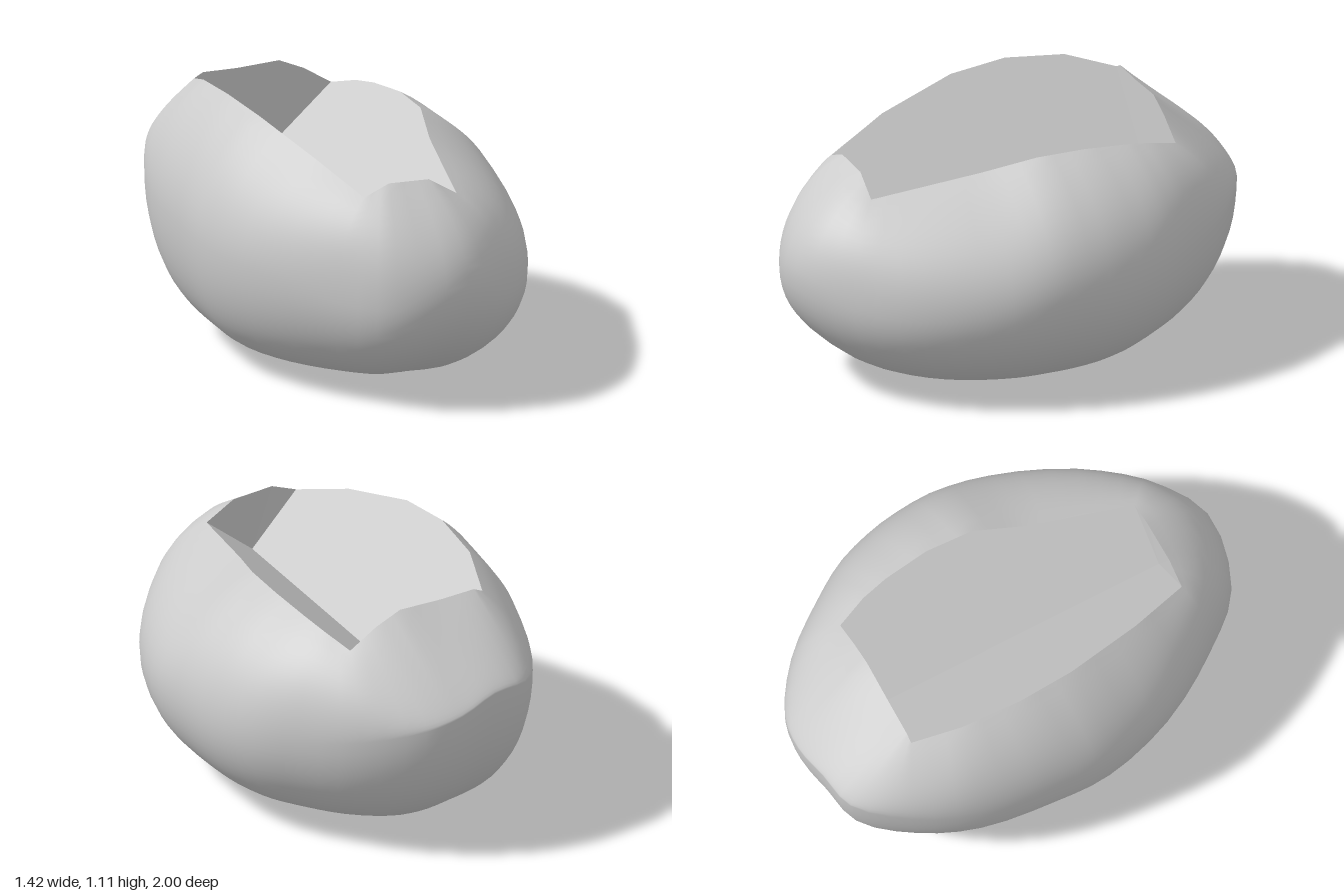
import * as THREE from 'three';

// One row per meridian, counter-clockwise from above, starting at the groove's front left corner:
// rim x, rim z, girth x, girth y, girth z, rim y (omitted where the rim lies on a sloped wall)
const MERIDIANS = [
  [0.02, 0.72, 0.16, 0.45, 0.9], [0.11, 0.52, 0.39, 0.43, 0.72],
  [0.21, 0.3, 0.6, 0.46, 0.41], [0.32, 0.1, 0.68, 0.5, 0.16],
  [0.37, -0.1, 0.705, 0.5, -0.08], [0.39, -0.3, 0.68, 0.52, -0.3],
  [0.39, -0.42, 0.6, 0.55, -0.5], [0.37, -0.56, 0.47, 0.6, -0.74],
  [0.25, -0.586, 0.28, 0.66, -0.93, 1.0], [0.14, -0.61, 0.13, 0.7, -0.985, 1.05],
  [-0.05, -0.65, -0.04, 0.75, -0.995, 1.045], [-0.2, -0.682, -0.21, 0.74, -0.99, 1.05],
  [-0.24, -0.69, -0.4, 0.68, -0.82], [-0.34, -0.5, -0.55, 0.62, -0.58],
  [-0.41, -0.25, -0.66, 0.6, -0.25], [-0.44, 0, -0.71, 0.57, 0],
  [-0.43, 0.35, -0.68, 0.54, 0.33], [-0.39, 0.63, -0.55, 0.48, 0.66],
  [-0.28, 0.655, -0.41, 0.47, 0.88, 0.94], [-0.1, 0.69, -0.13, 0.52, 0.995, 0.93],
];
const COUNT = MERIDIANS.length;
const GROOVE_Y = 0.67;

// Height of the V-groove's sloped walls above a plan position
function wallHeight(x, z) {
  const across = 0.979 * x + 0.205 * z + 0.049;
  return GROOVE_Y + (across > 0 ? 0.85 : -1.1) * across;
}

const rim = MERIDIANS.map(([x, z, , , , y]) => new THREE.Vector3(x, y ?? wallHeight(x, z), z));
const girth = new THREE.CatmullRomCurve3(
  MERIDIANS.map(([, , x, y, z]) => new THREE.Vector3(x, y, z)), true);

// Shoulder: leaves the rim at a slope and meets the girth upright
function shoulderPoint(r, g, t) {
  const slope = 0.72 - 0.21 * g.x - 0.15 * g.z;
  const drop = slope * Math.hypot(g.x - r.x, g.z - r.z);
  const knee = new THREE.Vector3(g.x, Math.max(g.y + 0.03, r.y - drop), g.z);
  return new THREE.QuadraticBezierCurve3(r, knee, g).getPoint(t);
}

// Underside: rounded from the girth to the base, squarer and slightly lifted on the right
const base = new THREE.Vector3(0.05, 0.002, 0);
function undersidePoint(g, t) {
  const angle = t * Math.PI / 2;
  const power = 0.64 + 0.28 * g.x + 0.06 * g.z;
  const p = base.clone().lerp(g, Math.pow(Math.max(0, Math.cos(angle)), power));
  const lift = 0.033 * THREE.MathUtils.smoothstep(-p.x, -0.05, 0.2);
  p.y = base.y + (g.y - base.y) * (1 - Math.sin(angle)) + lift * Math.sin(angle);
  return p;
}

// Rounded skin from the groove rim, over the girth, to the underside
function skinGeometry() {
  const cols = COUNT * 3, upper = 12, lower = 16, rows = upper + lower;
  const points = [], index = [];
  for (let j = 0; j <= rows; j++) {
    for (let i = 0; i < cols; i++) {
      const k = Math.floor(i / 3);
      const r = rim[k].clone().lerp(rim[(k + 1) % COUNT], (i % 3) / 3);
      const g = girth.getPoint(i / cols);
      points.push(j <= upper
        ? shoulderPoint(r, g, j / upper)
        : undersidePoint(g, (j - upper) / lower));
      if (j < rows) {
        const a = j * cols + i, b = j * cols + (i + 1) % cols;
        index.push(a, a + cols, b, b, a + cols, b + cols);
      }
    }
  }
  const geo = new THREE.BufferGeometry().setFromPoints(points);
  geo.setIndex(index);
  geo.computeVertexNormals();
  return geo;
}

// Flat wall made of a fan of triangles around its first point
function fanGeometry(points) {
  const tris = [];
  for (let i = 1; i < points.length - 1; i++) tris.push(points[0], points[i], points[i + 1]);
  const geo = new THREE.BufferGeometry().setFromPoints(tris);
  geo.computeVertexNormals();
  return geo;
}

export function createModel() {
  const group = new THREE.Group();
  group.name = 'slicedLoaf';
  const material = new THREE.MeshStandardMaterial({ color: 0xcccccc, side: THREE.DoubleSide });
  const add = (name, geometry) => {
    const mesh = new THREE.Mesh(geometry, material);
    mesh.name = name;
    group.add(mesh);
  };

  add('skin', skinGeometry());

  // V-shaped groove: two sloped walls and two upright ends
  const front = new THREE.Vector3(-0.19, GROOVE_Y, 0.675);
  const back = new THREE.Vector3(0.08, GROOVE_Y, -0.622);
  add('grooveLeftWall', fanGeometry([back, front, ...rim.slice(0, 8)]));
  add('grooveBackEnd', fanGeometry([back, ...rim.slice(7, 13)]));
  add('grooveRightWall', fanGeometry([front, back, ...rim.slice(12, 18)]));
  add('grooveFrontEnd', fanGeometry([front, ...rim.slice(17), rim[0]]));
  return group;
}
